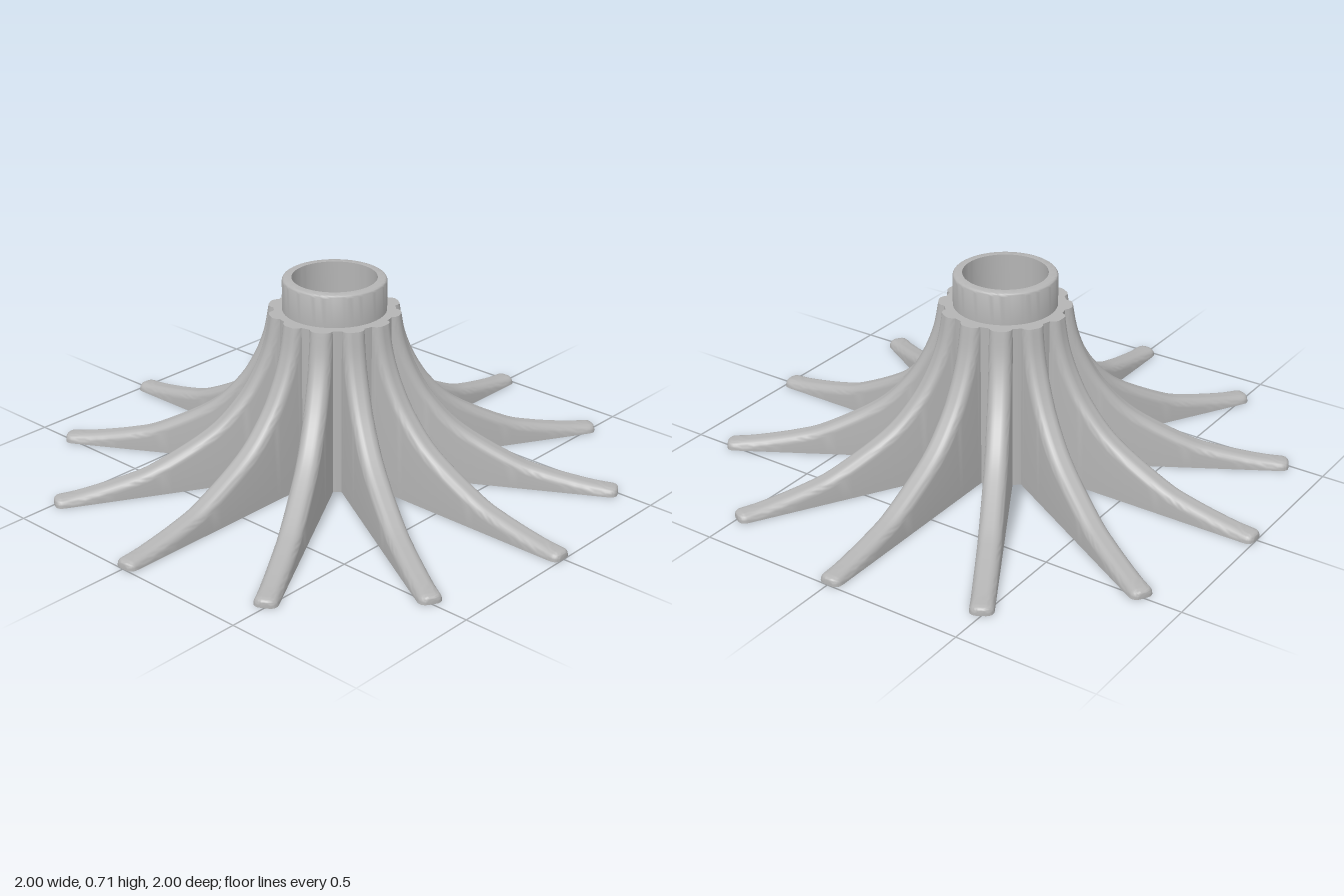
import * as THREE from 'three';
import { toCreasedNormals } from 'three/addons/utils/BufferGeometryUtils.js';

const HALF_WIDTH = 0.04, FILLET = 0.03, TIP = 0.025, FIN_COUNT = 12;

// Stations along the fin's crest: position, outward normal and half width
function finStations() {
  const crest = new THREE.SplineCurve([
    [0.23, 0.6], [0.25, 0.5], [0.29, 0.4], [0.354, 0.3], [0.458, 0.2],
    [0.645, 0.1], [0.75, 0.067], [0.88, 0.041], [0.975, 0.028],
  ].map(([x, y]) => new THREE.Vector2(x, y)));
  const stations = [];
  const n = 40;
  for (let i = 0; i <= n; i++) {
    const p = crest.getPoint(i / n), t = crest.getTangent(i / n);
    const flatTop = i === 0;
    stations.push({ x: p.x, y: p.y, nx: flatTop ? 1 : -t.y, ny: flatTop ? 0 : t.x, w: HALF_WIDTH });
  }
  // rounded toe
  for (let k = 1; k <= 5; k++) {
    const a = (k / 5) * Math.PI / 2, s = 1 - Math.cos(a);
    stations.push({ x: 1 - TIP + TIP * Math.sin(a), y: 0.028 - 0.01 * s, nx: 0, ny: 1, w: HALF_WIDTH - TIP * s });
  }
  return stations;
}

// Cross-section: straight sides down to the ground, filleted crest
function section({ x, y, nx, ny, w }) {
  const f = Math.min(FILLET, y * 0.9, w), steps = 6, half = [];
  half.push([x - nx * f, 0, w]);
  for (let i = 0; i <= steps; i++) {
    const a = (i / steps) * Math.PI / 2;
    const d = f * (1 - Math.sin(a));
    half.push([x - nx * d, y - ny * d, w - f + f * Math.cos(a)]);
  }
  return [...half, ...half.slice().reverse().map(([px, py, pz]) => [px, py, -pz])];
}

function finGeometry() {
  const loops = finStations().map(section);
  const m = loops[0].length, index = [];
  for (let i = 0; i < loops.length - 1; i++) {
    for (let j = 0; j < m; j++) {
      const a = i * m + j, b = i * m + (j + 1) % m;
      index.push(a, a + m, b, b, a + m, b + m);
    }
  }
  // flat top beside the hub, and the end of the toe
  const last = (loops.length - 1) * m;
  for (let k = 1; k < m; k++) {
    index.push(1, k, (k + 1) % m);
    if (k < m - 1) index.push(last, last + k + 1, last + k);
  }
  const g = new THREE.BufferGeometry();
  g.setAttribute('position', new THREE.Float32BufferAttribute(loops.flat(2), 3));
  g.setIndex(index);
  return toCreasedNormals(g, 0.6);
}

// Hollow hub with a narrower collar on top
function hubGeometry() {
  const profile = [[0.21, 0], [0.21, 0.6], [0.18, 0.6], [0.18, 0.703]];
  for (let i = 1; i <= 4; i++) {
    const a = (i / 4) * Math.PI / 2;
    profile.push([0.168 + 0.012 * Math.cos(a), 0.703 + 0.012 * Math.sin(a)]);
  }
  profile.push([0.147, 0.715], [0.147, 0.57], [0.193, 0.57], [0.193, 0], [0.21, 0]);
  const g = new THREE.LatheGeometry(profile.map(([r, y]) => new THREE.Vector2(r, y)), 96);
  return toCreasedNormals(g, 0.6);
}

export function createModel() {
  const model = new THREE.Group();
  model.name = 'finnedStand';
  const grey = new THREE.MeshStandardMaterial({ color: 0xb4b4b4 });
  grey.name = 'grey';

  const hub = new THREE.Mesh(hubGeometry(), grey);
  hub.name = 'hub';
  model.add(hub);

  const fins = new THREE.Group();
  fins.name = 'fins';
  const geometry = finGeometry();
  for (let i = 0; i < FIN_COUNT; i++) {
    const fin = new THREE.Mesh(geometry, grey);
    fin.name = `fin${i + 1}`;
    fin.rotation.y = (i / FIN_COUNT) * Math.PI * 2;
    fins.add(fin);
  }
  model.add(fins);
  return model;
}
